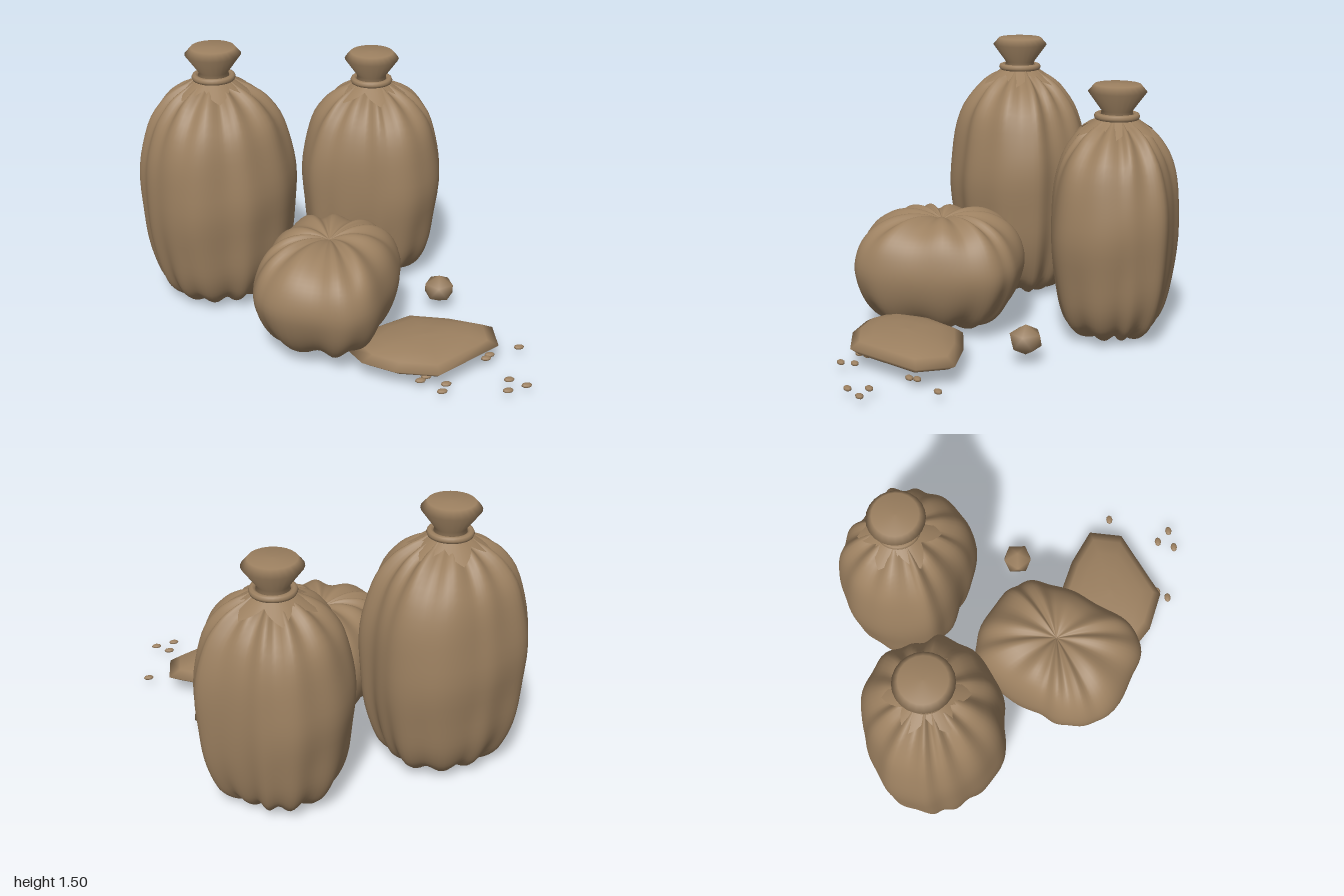
import * as THREE from 'three';
import { mergeVertices } from 'three/addons/utils/BufferGeometryUtils.js';

const burlap = new THREE.MeshStandardMaterial({ color: 0x9c8060, side: THREE.DoubleSide });
burlap.name = 'burlap tan';

function add(parent, name, geometry, x = 0, y = 0, z = 0) {
  const mesh = new THREE.Mesh(geometry, burlap);
  mesh.name = name;
  mesh.position.set(x, y, z);
  parent.add(mesh);
  return mesh;
}

// Stack scaled copies of a ground outline along a [scale, height] profile.
function loft(ring, profile, cx, cz, folds = 0, phase = 0) {
  const n = ring.length, pos = [], index = [];
  profile.forEach(([r, y], i) => {
    const bulge = Math.max(0, 4 * r * (1 - r));
    const side = i < profile.length / 2 ? -1 : 1;
    ring.forEach(([x, z], j) => {
      const t = (j / n) * Math.PI * 2;
      const wave = folds ? Math.cos(folds * t + phase + 0.8 * Math.sin(2 * t + phase)) : 0;
      const lump = folds ? Math.sin(5 * t + 9 * y + phase) * Math.sin(3 * t - 6 * y) : 0;
      // Pleats are strong near the gathered ends and fade at the belly
      const k = Math.max(0, r) * (1 + wave * (0.01 + 0.08 * Math.max(0, 1 - r)) + lump * 0.014);
      pos.push(cx + (x - cx) * k, y + side * wave * 0.011 * bulge, cz + (z - cz) * k);
    });
  });
  for (let i = 0; i < profile.length - 1; i++) {
    for (let j = 0; j < n; j++) {
      const a = i * n + j, b = i * n + ((j + 1) % n), c = a + n, d = b + n;
      index.push(a, c, b, b, c, d);
    }
  }
  const g = new THREE.BufferGeometry();
  g.setAttribute('position', new THREE.Float32BufferAttribute(pos, 3));
  g.setIndex(index);
  g.computeVertexNormals();
  return g;
}

function smoothRing(points, n = 96) {
  const curve = new THREE.CatmullRomCurve3(points.map(([x, z]) => new THREE.Vector3(x, 0, z)), true);
  return Array.from({ length: n }, (_, j) => {
    const p = curve.getPoint(j / n);
    return [p.x, p.z];
  });
}

function smoothProfile(points, scale = 1) {
  const curve = new THREE.SplineCurve(points.map(([r, y]) => new THREE.Vector2(r, y * scale)));
  return curve.getPoints(44).map((p) => [p.x, p.y]);
}

const tallProfile = [
  [0, 0.05], [0.15, 0.025], [0.33, 0.016], [0.52, 0.04], [0.67, 0.085], [0.78, 0.15], [0.88, 0.27], [0.95, 0.45],
  [0.995, 0.68], [0.95, 0.9], [0.83, 1.08], [0.63, 1.2], [0.45, 1.26], [0.32, 1.29], [0.2, 1.325],
];

// Jagged cloth edge draped over the shoulder below the tie
function frillGeometry() {
  const g = new THREE.CylinderGeometry(0.09, 0.16, 0.06, 48, 1, true);
  const p = g.attributes.position;
  for (let i = 0; i < p.count; i++) {
    if (p.getY(i) > 0) continue;
    const t = Math.atan2(p.getZ(i), p.getX(i));
    const spike = Math.abs((((t / (Math.PI * 2)) * 6 + 6) % 1) - 0.5) * 2;
    const k = 0.85 + 0.55 * spike;
    p.setXYZ(i, p.getX(i) * k, -0.005 - 0.055 * spike, p.getZ(i) * k);
  }
  g.computeVertexNormals();
  return g;
}

function tiedSack(name, outline, cx, cz, scale, folds, phase) {
  const sack = new THREE.Group();
  sack.name = name;
  const tieY = 1.332 * scale;
  add(sack, 'sackBody', loft(smoothRing(outline), smoothProfile(tallProfile, scale), cx, cz, folds, phase));
  const frill = add(sack, 'frill', frillGeometry(), cx, tieY - 0.03, cz);
  frill.rotation.y = Math.PI / 6;
  const tie = add(sack, 'tieCord', new THREE.TorusGeometry(0.102, 0.019, 8, 32), cx, tieY, cz);
  tie.rotation.x = Math.PI / 2;
  // Flared, gathered mouth above the cord
  const mouth = [[0.09, -0.03], [0.082, 0.03], [0.155, 0.13], [0.122, 0.168], [0, 0.172]];
  add(sack, 'sackMouth', new THREE.LatheGeometry(mouth.map(([r, y]) => new THREE.Vector2(r, y)), 24), cx, tieY, cz);
  return sack;
}

// Rough lump standing on a corner, with smooth shading
function lumpGeometry() {
  const g = new THREE.IcosahedronGeometry(0.092, 0);
  g.rotateZ(Math.atan(2 / (1 + Math.sqrt(5))));
  g.scale(1, 0.88, 1);
  g.deleteAttribute('normal');
  g.deleteAttribute('uv');
  const merged = mergeVertices(g);
  merged.computeVertexNormals();
  return merged;
}

export function createModel() {
  const model = new THREE.Group();
  model.name = 'grainSacks';

  // Two tall tied sacks
  model.add(tiedSack('tallSack', [
    [-0.96, -0.53], [-0.88, -0.72], [-0.7, -0.81], [-0.55, -0.855], [-0.32, -0.83], [-0.17, -0.7],
    [-0.13, -0.55], [-0.09, -0.4], [-0.2, -0.21], [-0.39, -0.11], [-0.55, -0.1], [-0.75, -0.13],
    [-0.87, -0.26], [-0.94, -0.4],
  ], -0.53, -0.48, 1, 12, 0.4));
  model.add(tiedSack('mediumSack', [
    [0, -0.52], [0.03, -0.78], [0.17, -0.93], [0.35, -0.99], [0.52, -0.95], [0.65, -0.83], [0.8, -0.7],
    [0.8, -0.55], [0.77, -0.43], [0.65, -0.27], [0.45, -0.23], [0.3, -0.3], [0.1, -0.4],
  ], 0.4, -0.62, 0.896, 12, 1.7));

  // Squat closed sack lying in front
  const squatRing = smoothRing([
    [-0.46, 0.3], [-0.43, 0.17], [-0.36, 0.06], [-0.25, -0.13], [-0.07, -0.26], [0.1, -0.23], [0.32, -0.08],
    [0.385, 0.03], [0.37, 0.2], [0.26, 0.41], [0.12, 0.62], [-0.02, 0.69], [-0.2, 0.63], [-0.43, 0.45],
  ]);
  const squatProfile = smoothProfile([
    [0, 0.09], [0.15, 0.055], [0.35, 0.045], [0.58, 0.07], [0.78, 0.135], [0.93, 0.24], [1, 0.365],
    [0.94, 0.48], [0.8, 0.565], [0.59, 0.62], [0.38, 0.64], [0.18, 0.635], [0, 0.61],
  ]);
  add(model, 'squatSack', loft(squatRing, squatProfile, -0.03, 0.2, 11, 0.9));

  // Flat, nearly empty sack
  add(model, 'flatSack', loft([
    [-0.01, 0.5], [0.17, 0.34], [0.4, 0.25], [0.63, 0.34], [0.82, 0.46], [0.79, 0.65], [0.4, 0.86],
    [0.18, 0.78], [0.04, 0.66],
  ], [[0, 0.042], [0.55, 0.05], [0.85, 0.078], [1, 0.113], [0.84, 0.146], [0.6, 0.17], [0.3, 0.181], [0, 0.184]], 0.41, 0.56));

  // Loose round lump
  add(model, 'lump', lumpGeometry(), 0.655, 0.13, 0.01);

  // Spilled grains
  const grain = new THREE.SphereGeometry(0.029, 8, 6);
  grain.scale(1, 0.42, 0.68);
  [
    [0.93, 0.59], [0.44, 0.85], [0.4, 0.91], [0.77, 0.88], [0.73, 0.975], [0.84, 0.95],
    [0.32, 0.79], [0.36, 0.76], [0.72, 0.66], [0.75, 0.63], [0.45, 0.68],
  ].forEach(([x, z]) => add(model, 'grain', grain, x, 0.05, z));

  return model;
}
